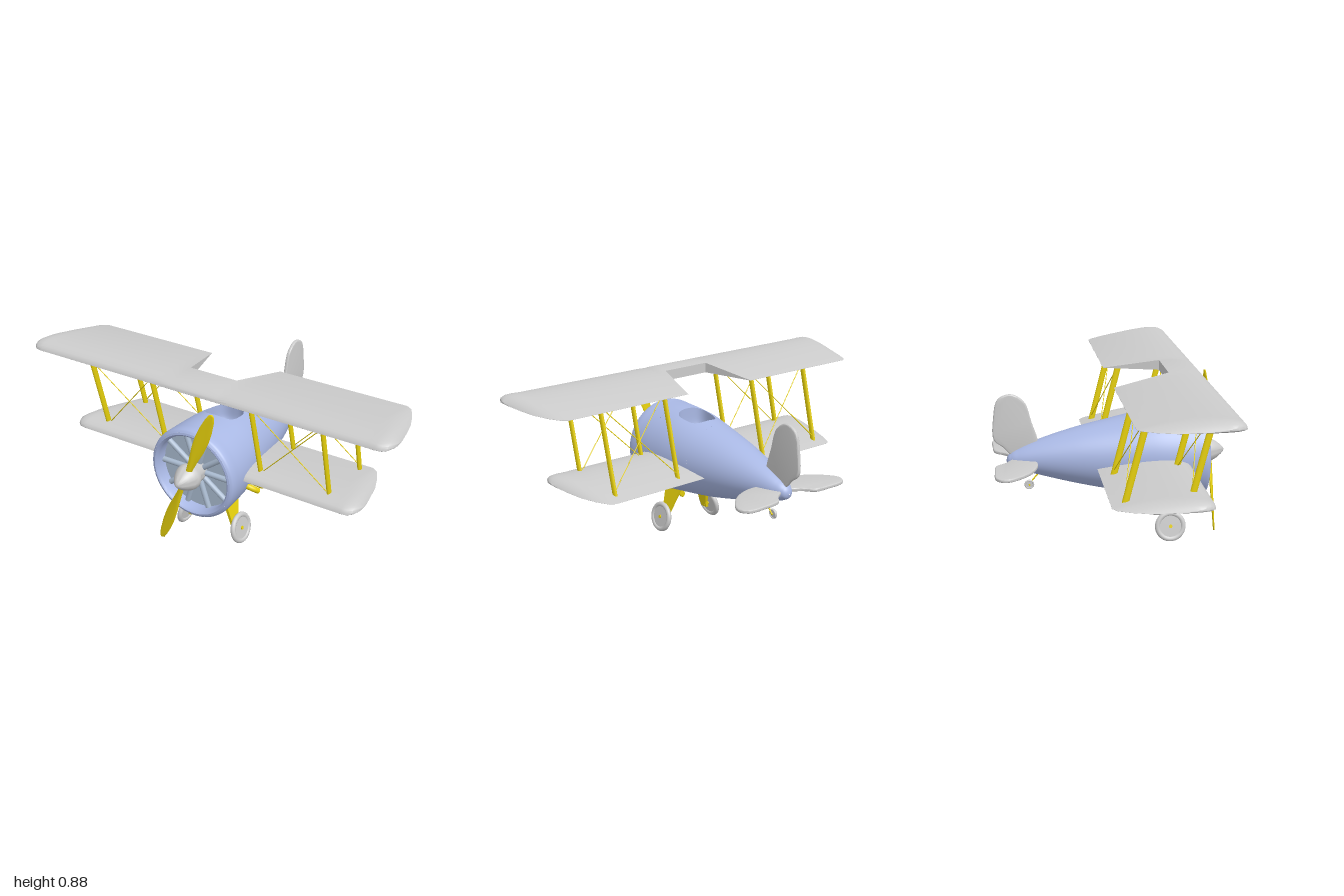
import * as THREE from 'three';
import { toCreasedNormals } from 'three/addons/utils/BufferGeometryUtils.js';
import { ParametricGeometry } from 'three/addons/geometries/ParametricGeometry.js';

const V = (x, y, z) => new THREE.Vector3(x, y, z);
const { lerp } = THREE.MathUtils;

export function createModel() {
  const plane = new THREE.Group();
  plane.name = 'biplane';
  const grey = new THREE.MeshStandardMaterial({ color: 0xcccccc });
  const blue = new THREE.MeshStandardMaterial({ color: 0xa9b8e4 });
  const paleBlue = new THREE.MeshStandardMaterial({ color: 0xaabbd0 });
  const yellow = new THREE.MeshStandardMaterial({ color: 0xe8d20c });
  const yellowOpen = new THREE.MeshStandardMaterial({ color: 0xe8d20c, side: THREE.DoubleSide });

  const add = (name, geometry, material, parent = plane) => {
    const mesh = new THREE.Mesh(geometry, material);
    mesh.name = name;
    parent.add(mesh);
    return mesh;
  };

  // Round or oval rod between two points
  const rod = (name, a, b, r, material, depth = 1, parent = plane) => {
    const dir = b.clone().sub(a);
    const geo = new THREE.CylinderGeometry(r, r, dir.length(), 14).scale(1, 1, depth);
    const mesh = add(name, geo, material, parent);
    mesh.position.copy(a).add(b).multiplyScalar(0.5);
    mesh.quaternion.setFromUnitVectors(V(0, 1, 0), dir.normalize());
    return mesh;
  };

  // Skin over a row of closed cross-sections, capped at both ends
  const loft = (rings, crease = 0.6) => {
    const pos = [];
    const tri = (...pts) => pts.forEach((p) => pos.push(p.x, p.y, p.z));
    const n = rings[0].length;
    const centre = (ring) => ring.reduce((s, p) => s.add(p), V(0, 0, 0)).divideScalar(n);
    const first = rings[0], last = rings[rings.length - 1];
    const c0 = centre(first), c1 = centre(last);
    for (let j = 0; j < n; j++) {
      const k = (j + 1) % n;
      tri(c0, first[j], first[k]);
      tri(c1, last[k], last[j]);
      for (let i = 0; i + 1 < rings.length; i++) {
        const p = rings[i], q = rings[i + 1];
        tri(p[j], q[j], q[k]);
        tri(p[j], q[k], p[k]);
      }
    }
    const geo = new THREE.BufferGeometry();
    geo.setAttribute('position', new THREE.Float32BufferAttribute(pos, 3));
    return toCreasedNormals(geo, crease);
  };

  // Fuselage: centre height and radius along z
  const zs = [-0.53, -0.525, -0.505, -0.47, -0.4, -0.2, 0, 0.2, 0.3, 0.4, 0.45, 0.465, 0.475];
  const hr = [0.42, 0.003, 0.42, 0.018, 0.423, 0.037, 0.425, 0.055, 0.43, 0.08, 0.433, 0.138, 0.433, 0.183,
    0.437, 0.218, 0.433, 0.229, 0.43, 0.235, 0.43, 0.236, 0.43, 0.232, 0.43, 0.222];
  const profile = new THREE.CubicInterpolant(zs, hr, 2, new Float64Array(2));
  const skin = (angle, z, out) => {
    const [yc, r] = profile.evaluate(z);
    return out.set(r * Math.sin(angle), yc + r * Math.cos(angle), z);
  };
  const fuselage = new THREE.Group();
  fuselage.name = 'fuselage';
  plane.add(fuselage);
  const pitFront = 0.32, pitBack = 0.03, pitAngle = 0.7, tau = Math.PI * 2;
  const belt = (name, z0, z1, a0, a1, nu, nv, ease) => add(name, new ParametricGeometry(
    (u, v, out) => skin(lerp(a0, a1, u), lerp(z0, z1, ease(v)), out), nu, nv), blue, fuselage);
  belt('noseSkin', 0.475, pitFront, 0, tau, 72, 24, (v) => v * v);
  belt('middleSkin', pitFront, pitBack, pitAngle, tau - pitAngle, 60, 16, (v) => v);
  belt('tailSkin', pitBack, -0.53, 0, tau, 72, 48, (v) => 1 - (1 - v) ** 2);

  // Skin around the cockpit opening, and the cockpit well
  const pitZ = (pitFront + pitBack) / 2;
  const rim = (a, v, out) => {
    const c = Math.cos(a), s = Math.sin(a);
    const d = (Math.abs(c) ** 3 + Math.abs(s) ** 3) ** (-1 / 3);
    const m = 1 / Math.max(Math.abs(c), Math.abs(s));
    return skin(lerp(0.4 * d, pitAngle * m, v) * c, pitZ + lerp(0.086 * d, (pitFront - pitBack) / 2 * m, v) * s, out);
  };
  add('cockpitSurround', new ParametricGeometry((u, v, out) => rim(u * tau, v, out), 64, 10), blue, fuselage);
  add('cockpitWell', new ParametricGeometry((u, v, out) => {
    rim(u * tau, 0, out);
    const k = 1 - (1 - v) ** 4;
    out.set(out.x * k, lerp(0.53, out.y, v * v), pitZ + (out.z - pitZ) * k);
  }, 64, 14), blue, fuselage);

  // Cowl lip, engine face and radial cylinders
  const lip = [[0.222, 0.475], [0.212, 0.478], [0.204, 0.472], [0.2, 0.46], [0.2, 0.41]];
  const lathe = (pts, n = 64) => toCreasedNormals(
    new THREE.LatheGeometry(pts.map(([r, y]) => new THREE.Vector2(r, y)), n).rotateX(Math.PI / 2), 0.7);
  add('cowlLip', lathe(lip), blue).position.y = 0.43;
  add('engineFace', lathe([[0.2, 0.41], [0, 0.41]]), paleBlue).position.y = 0.43;
  for (let i = 0; i < 10; i++) {
    const a = (i + 0.5) * tau / 10, dx = Math.sin(a), dy = Math.cos(a);
    rod('engineCylinder', V(dx * 0.04, 0.43 + dy * 0.04, 0.42), V(dx * 0.2, 0.43 + dy * 0.2, 0.42), 0.014, paleBlue);
  }

  // Spinner and propeller
  add('spinner', lathe([[0, 0.4], [0.05, 0.4], [0.055, 0.465], [0.066, 0.485], [0.066, 0.5], [0.06, 0.522],
    [0.045, 0.55], [0.025, 0.576], [0.01, 0.59], [0, 0.594]], 40), grey).position.y = 0.43;
  const bladeStations = [[0, 0.014], [0.06, 0.015], [0.12, 0.021], [0.2, 0.032], [0.26, 0.035], [0.32, 0.032],
    [0.38, 0.023], [0.41, 0.015], [0.418, 0.006]];
  const blade = loft(bladeStations.map(([s, w]) => {
    const twist = lerp(0.5, 0.15, s / 0.42), t = lerp(0.01, 0.004, s / 0.42);
    return Array.from({ length: 16 }, (_, i) => {
      const a = i / 16 * tau;
      return V(Math.cos(a) * w, s, Math.sin(a) * t).applyAxisAngle(V(0, 1, 0), twist);
    });
  }), 1);
  for (const turn of [0, Math.PI]) {
    const mesh = add('propellerBlade', blade, yellow);
    mesh.position.set(0, 0.43, 0.518);
    mesh.rotation.z = turn - 0.39;
  }

  // Wings: stations hold x, leading z, trailing z
  const tip = [[0.87, 0.45, -0.01], [0.9, 0.45, 0.01], [0.93, 0.45, 0.07], [0.96, 0.445, 0.15],
    [0.98, 0.43, 0.24], [0.995, 0.4, 0.31], [1, 0.375, 0.345]];
  const wing = (inner, dx) => {
    const half = [...inner, ...tip.map(([x, le, te]) => [x + dx, le, te])];
    const all = [...half.map(([x, le, te]) => [-x, le, te]).reverse(), ...half];
    return loft(all.map(([x, le, te]) => {
      const ax = Math.abs(x), chord = ax < 0.5 ? 0.46 : le - te;
      const flat = Math.max(0.15, Math.min(1, Math.sqrt(Math.max(0, 1 + dx - ax) / 0.05)));
      const point = (f, side) => {
        const z = lerp(le, te, f), t = (le - z) / chord;
        const n = 10 * (0.2969 * Math.sqrt(t) - 0.126 * t - 0.3516 * t * t + 0.2843 * t ** 3 - 0.1015 * t ** 4);
        const y = 0.012 * (1 - t) + n * (side > 0 ? 0.043 : -0.01);
        return V(x, 0.02 + (y - 0.02) * flat, z);
      };
      const ring = [], n = 16;
      const f = (i) => 0.5 - 0.5 * Math.cos(i / n * Math.PI);
      for (let i = 0; i <= n; i++) ring.push(point(f(i), 1));
      for (let i = n; i > 0; i--) ring.push(point(f(i), -1));
      return ring;
    }));
  };
  add('upperWing', wing([[0.13, 0.45, 0.27], [0.2, 0.45, -0.01]], 0), grey).position.y = 0.833;
  add('lowerWing', wing([[0.1, 0.45, -0.01]], -0.18), grey).position.set(0, 0.408, -0.077);

  // Struts and crossed bracing wires
  for (const side of [-1, 1]) {
    for (const [zt, zb, yb] of [[0.388, 0.287, 0.43], [0.086, -0.022, 0.415]]) {
      for (const x of [0.28, 0.65]) {
        rod('wingStrut', V(side * x, 0.845, zt), V(side * x, yb, zb), 0.009, yellow, 1.8);
      }
      for (const [xa, xb] of [[0.28, 0.65], [0.65, 0.28]]) {
        rod('bracingWire', V(side * xa, 0.835, zt), V(side * xb, 0.44, zb), 0.0022, yellow);
      }
    }
  }

  // Tail surfaces
  const plate = (pts) => {
    const curve = new THREE.CatmullRomCurve3(pts.map(([x, y]) => V(x, y, 0)), true);
    const shape = new THREE.Shape(curve.getPoints(60).slice(0, -1).map((p) => new THREE.Vector2(p.x, p.y)));
    const geo = new THREE.ExtrudeGeometry(shape, { depth: 0.004, bevelThickness: 0.007, bevelSize: 0.007,
      bevelOffset: -0.007, bevelSegments: 3 });
    return toCreasedNormals(geo.translate(0, 0, -0.002), 0.7);
  };
  add('tailFin', plate([[-0.37, 0.49], [-0.4, 0.62], [-0.435, 0.725], [-0.5, 0.765], [-0.565, 0.74], [-0.59, 0.64],
    [-0.59, 0.53], [-0.545, 0.49], [-0.5, 0.445], [-0.42, 0.44]]).rotateY(-Math.PI / 2), grey);
  for (const side of [-1, 1]) {
    add('tailplane', plate([[0.02, -0.41], [0.1, -0.378], [0.2, -0.4], [0.28, -0.46], [0.328, -0.54], [0.3, -0.588],
      [0.2, -0.594], [0.12, -0.585], [0.08, -0.54], [0.02, -0.49]].map(([x, z]) => [side * x, z]))
      .rotateX(Math.PI / 2), grey).position.y = 0.426;
  }

  // Wheels on the x axis
  const wheel = (name, r, width) => {
    const group = new THREE.Group();
    group.name = name;
    plane.add(group);
    const tube = r * 0.17;
    add('tyre', new THREE.TorusGeometry(r - tube, tube, 14, 40).rotateY(Math.PI / 2).scale(width / tube / 2, 1, 1), grey, group);
    add('wheelDisc', new THREE.CylinderGeometry(r * 0.75, r * 0.75, width * 0.55, 40).rotateZ(Math.PI / 2), grey, group);
    return group;
  };

  // Landing gear: tapered legs that splay outward
  for (const side of [-1, 1]) {
    const main = wheel('mainWheel', 0.08, 0.026);
    main.position.set(side * 0.163, 0.081, 0.288);
    main.rotation.z = side * 0.2;
    rod('axle', V(-side * 0.04, 0, 0), V(side * 0.012, 0, 0), 0.009, yellow, 1, main);
    const outline = [[0.333, 0.265], [0.2, 0.265], [0.262, 0.1], [0.268, 0.065], [0.308, 0.065], [0.315, 0.1]];
    const leg = new THREE.ExtrudeGeometry(new THREE.Shape(outline.map((p) => new THREE.Vector2(...p))),
      { depth: 0.016, bevelEnabled: false }).translate(0, 0, -0.008).rotateY(-Math.PI / 2);
    const p = leg.attributes.position;
    for (let i = 0; i < p.count; i++) p.setX(i, p.getX(i) + side * (0.09 + (0.24 - p.getY(i)) * 0.26));
    leg.computeVertexNormals();
    add('landingLeg', leg, yellow);
  }
  wheel('tailWheel', 0.025, 0.014).position.set(0, 0.284, -0.418);
  rod('tailWheelStrut', V(0.009, 0.284, -0.418), V(0.004, 0.36, -0.355), 0.0035, yellow);
  rod('tailWheelAxle', V(-0.011, 0.284, -0.418), V(0.011, 0.284, -0.418), 0.004, yellow);

  // Exhaust pipes on the left side
  for (let i = 0; i < 4; i++) {
    const z = 0.277 - i * 0.041, y = 0.32 + i * 0.006;
    const path = new THREE.CatmullRomCurve3([V(0.18, y + 0.033, z + 0.032), V(0.222, y + 0.03, z + 0.03),
      V(0.243, y + 0.018, z + 0.018), V(0.254, y, z - 0.004)]);
    add('exhaustPipe', new THREE.TubeGeometry(path, 16, 0.014, 14), yellowOpen);
  }
  return plane;
}
